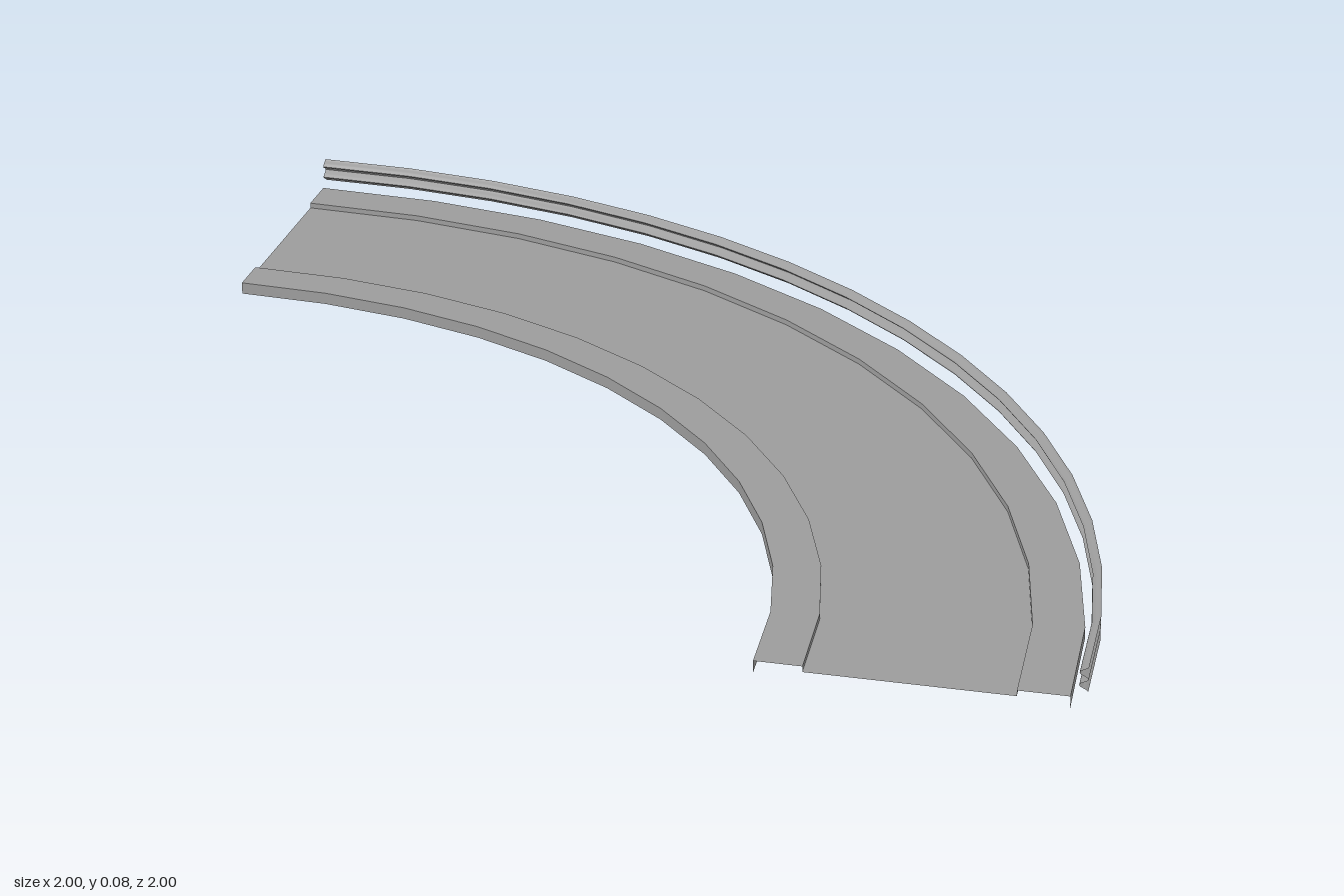
import * as THREE from 'three';
import { toCreasedNormals } from 'three/addons/utils/BufferGeometryUtils.js';

const material = new THREE.MeshStandardMaterial({ color: 0x9c9c9c, side: THREE.DoubleSide });

// Sweeps an open [radius, height] profile through a quarter turn about (-1, cz)
function sweep(name, profile, segments, cz) {
  const positions = [], index = [], n = profile.length;
  for (let i = 0; i <= segments; i++) {
    const a = (i / segments) * Math.PI / 2;
    for (const [r, y] of profile) {
      const z = i === segments ? 1 : cz - r * Math.cos(a);
      positions.push(-1 + r * Math.sin(a), y, z);
    }
  }
  for (let i = 0; i < segments; i++) {
    for (let j = 0; j < n - 1; j++) {
      const a = i * n + j, b = a + 1, c = a + n, d = c + 1;
      index.push(a, c, b, b, c, d);
    }
  }
  const geometry = new THREE.BufferGeometry();
  geometry.setAttribute('position', new THREE.Float32BufferAttribute(positions, 3));
  geometry.setIndex(index);
  const mesh = new THREE.Mesh(toCreasedNormals(geometry, 0.7), material);
  mesh.name = name;
  return mesh;
}

export function createModel() {
  const group = new THREE.Group();
  group.name = 'curvedRoad';

  // Kerbs with a lip down to the ground, and the lower carriageway between them
  const innerKerb = [[1.412, 0], [1.412, 0.024], [1.5, 0.024], [1.5, 0.013]];
  const carriageway = [[1.5, 0.013], [1.877, 0.013]];
  const outerKerb = [[1.877, 0.013], [1.877, 0.024], [1.97, 0.024], [1.97, 0]];
  group.add(sweep('innerKerb', innerKerb, 12, 0.99));
  group.add(sweep('carriageway', carriageway, 12, 0.99));
  group.add(sweep('outerKerb', outerKerb, 12, 0.99));

  // Corrugated guard rail: a smooth wave with two ridges towards the road
  const rail = [], steps = 24;
  for (let i = 0; i <= steps; i++) {
    const t = i / steps;
    rail.push([1.992 + 0.008 * Math.cos(4 * Math.PI * t), 0.036 + 0.048 * t]);
  }
  group.add(sweep('guardRail', rail, 16, 1));
  return group;
}
